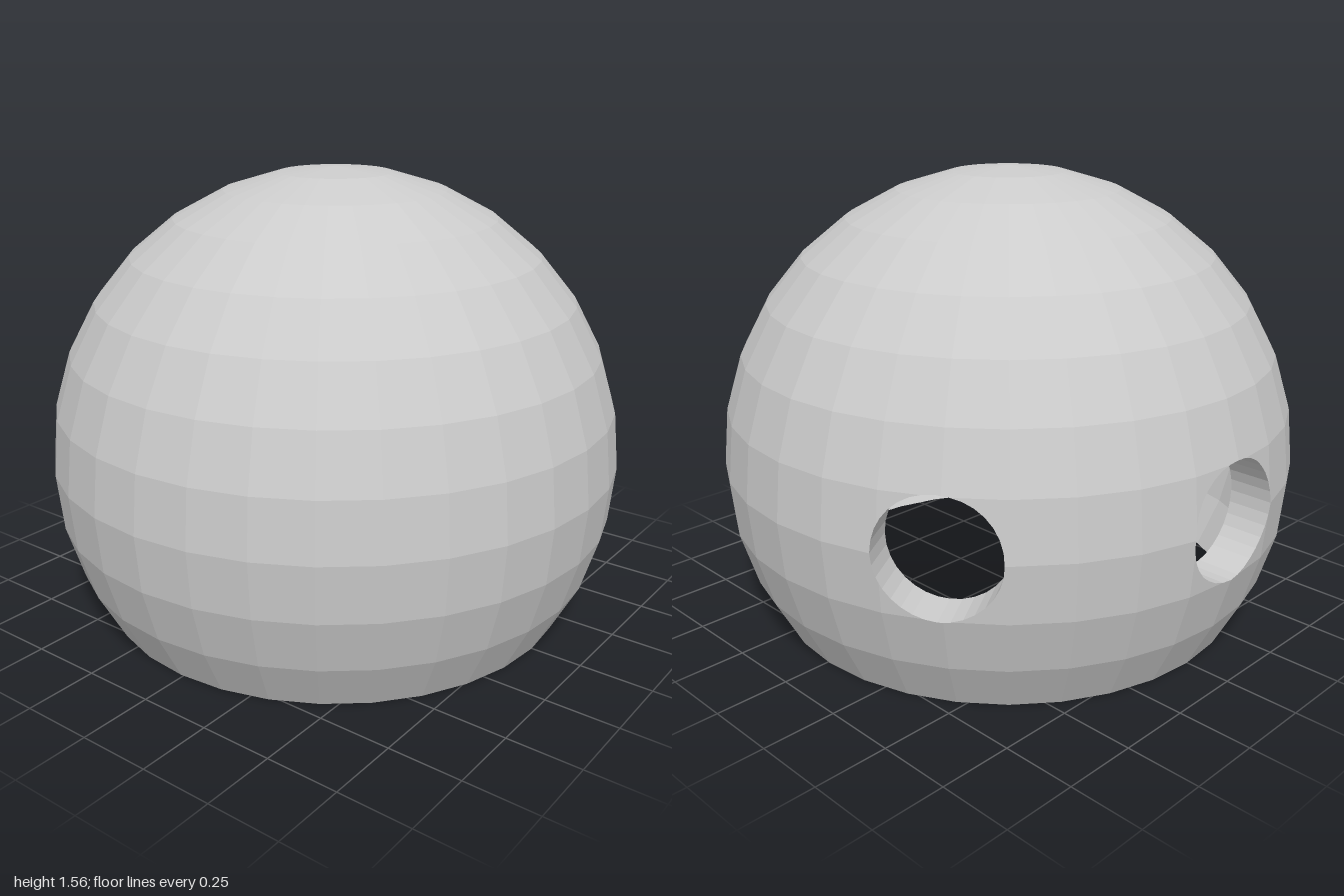
import * as THREE from 'three';

const SEGMENTS = 32;                 // meridians; rings are spaced by the same angle
const RINGS = 11;                    // pole down to the open base
const STEP = (2 * Math.PI) / SEGMENTS;
const CENTRE = new THREE.Vector3(-0.01, 0.555, 0);
const HOLE_RADIUS = 0.2, HOLE_SIDES = 32, SLEEVE_DEPTH = 0.83;
const HOLE_ANGLES = [0, 1];          // turned from -x towards -z

// Point on the unit sphere by meridian and ring
function spherePoint(i, j) {
  const phi = i * STEP, theta = j * STEP;
  return new THREE.Vector3(Math.sin(theta) * Math.cos(phi), Math.cos(theta), Math.sin(theta) * Math.sin(phi));
}

// Keep the part of a convex polygon on the positive side of a plane
function clip(polygon, normal, offset) {
  const out = [];
  polygon.forEach((p, k) => {
    const q = polygon[(k + 1) % polygon.length];
    const dp = normal.dot(p) - offset, dq = normal.dot(q) - offset;
    if (dp >= 0) out.push(p);
    if (dp * dq < 0) out.push(p.clone().lerp(q, dp / (dp - dq)));
  });
  return out;
}

function pushFan(polygon, points) {
  for (let k = 1; k < polygon.length - 1; k++) points.push(polygon[0], polygon[k], polygon[k + 1]);
}

function makeMesh(points, name) {
  const geometry = new THREE.BufferGeometry().setFromPoints(points);
  geometry.computeVertexNormals();
  const material = new THREE.MeshStandardMaterial({ color: 0xcccccc, flatShading: true, side: THREE.DoubleSide });
  const mesh = new THREE.Mesh(geometry, material);
  mesh.name = name;
  mesh.position.copy(CENTRE);
  return mesh;
}

function makeHole(angle) {
  const axis = new THREE.Vector3(-Math.cos(angle), 0, -Math.sin(angle));
  const side = new THREE.Vector3(Math.sin(angle), 0, -Math.cos(angle));
  const radial = (a) => side.clone().multiplyScalar(Math.cos(a)).add(new THREE.Vector3(0, Math.sin(a), 0));
  return { axis, radial, sleeve: [] };
}

// Cut a facet into wedges around the hole, adding a sleeve wall along each cut edge
function cutFacet(facet, hole, shell) {
  const turn = (2 * Math.PI) / HOLE_SIDES;
  const apothem = HOLE_RADIUS * Math.cos(turn / 2);
  for (let k = 0; k < HOLE_SIDES; k++) {
    const a = k * turn;
    const outward = hole.radial(a + turn / 2);
    let piece = clip(facet, hole.radial(a + Math.PI / 2), 0);
    piece = clip(piece, hole.radial(a + turn - Math.PI / 2), 0);
    piece = clip(piece, outward, apothem);
    if (piece.length < 3) continue;
    pushFan(piece, shell);
    piece.forEach((p, n) => {
      const q = piece[(n + 1) % piece.length];
      const onCut = (v) => Math.abs(outward.dot(v) - apothem) < 1e-6;
      if (!onCut(p) || !onCut(q)) return;
      const inner = (v) => v.clone().addScaledVector(hole.axis, SLEEVE_DEPTH - hole.axis.dot(v));
      pushFan([q, p, inner(p), inner(q)], hole.sleeve);
    });
  }
}

export function createModel() {
  const group = new THREE.Group();
  group.name = 'domeShell';
  const holes = HOLE_ANGLES.map(makeHole);
  const shell = [];

  // Faceted dome, open at the base, with round holes cut through
  for (let j = 0; j < RINGS; j++) {
    for (let i = 0; i < SEGMENTS; i++) {
      const facet = [spherePoint(i, j), spherePoint(i + 1, j), spherePoint(i + 1, j + 1), spherePoint(i, j + 1)];
      if (j === 0) facet.splice(1, 1);
      const middle = spherePoint(i + 0.5, j + 0.5);
      const hole = holes.find((h) => h.axis.dot(middle) > 0.9);
      if (hole) cutFacet(facet, hole, shell);
      else pushFan(facet, shell);
    }
  }
  group.add(makeMesh(shell, 'dome'));

  // Short sleeves lining the holes
  holes.forEach((h, n) => group.add(makeMesh(h.sleeve, n === 0 ? 'sideHoleSleeve' : 'backHoleSleeve')));
  return group;
}
